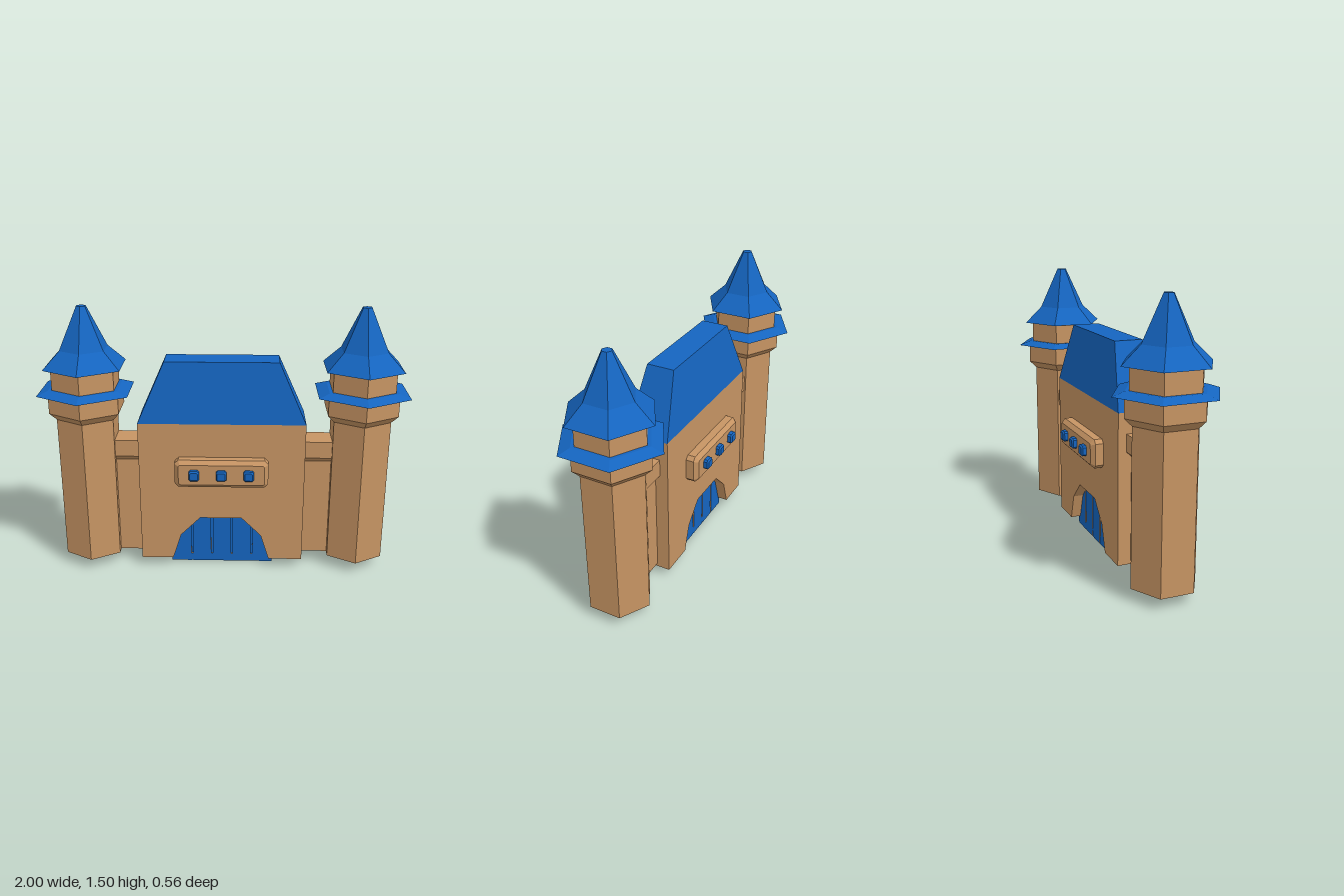
import * as THREE from 'three';

const stone = new THREE.MeshStandardMaterial({ color: 0xc69463, flatShading: true });
const blue = new THREE.MeshStandardMaterial({ color: 0x1565c0, flatShading: true });
const CX = -0.008, CZ = -0.008; // centre of the gatehouse

function add(parent, name, geometry, material) {
  const mesh = new THREE.Mesh(geometry, material);
  mesh.name = name;
  parent.add(mesh);
  return mesh;
}

const shapeOf = pts => new THREE.Shape(pts.map(p => new THREE.Vector2(p[0], p[1])));

// Extrusion centred on z = 0
function slab(pts, depth) {
  return new THREE.ExtrudeGeometry(shapeOf(pts), { depth, bevelEnabled: false }).translate(0, 0, -depth / 2);
}

// Block with cut corners and a chamfer round both end faces
function chamferedBlock(w, h, depth, cut, bevel) {
  const x = w / 2 - bevel, y = h / 2 - bevel;
  const pts = [[-x + cut, -y], [x - cut, -y], [x, -y + cut], [x, y - cut],
    [x - cut, y], [-x + cut, y], [-x, y - cut], [-x, -y + cut]];
  const d = depth - 2 * bevel;
  return new THREE.ExtrudeGeometry(shapeOf(pts), {
    depth: d, bevelEnabled: true, bevelSegments: 1, bevelSize: bevel, bevelThickness: bevel
  }).translate(0, 0, -d / 2);
}

function hexLathe(profile) {
  return new THREE.LatheGeometry(profile.map(p => new THREE.Vector2(p[0], p[1])), 6);
}

function makeTower(name, x) {
  const tower = new THREE.Group();
  tower.name = name;
  tower.position.x = x;
  add(tower, 'shaft', hexLathe([[0, 0.065], [0.178, 0.065], [0.178, 0.89], [0.218, 0.93],
    [0.218, 1.037], [0.282, 1.037]]), stone);
  add(tower, 'lowerEave', hexLathe([[0.282, 1.037], [0.215, 1.06], [0.18, 1.06]]), blue);
  add(tower, 'turret', hexLathe([[0.194, 1.06], [0.194, 1.175], [0.238, 1.175]]), stone);
  add(tower, 'spire', hexLathe([[0.238, 1.175], [0.137, 1.27], [0.027, 1.5], [0, 1.5]]), blue);
  return tower;
}

// Arch outline, left to right, shared by opening and door
const arch = [[-0.28, 0.05], [-0.232, 0.2], [-0.122, 0.31], [0.113, 0.31], [0.223, 0.2], [0.27, 0.05]];

function archHeight(x) {
  for (let i = 1; i < arch.length; i++) {
    const [x0, y0] = arch[i - 1], [x1, y1] = arch[i];
    if (x <= x1) return y0 + (y1 - y0) * Math.max(0, (x - x0) / (x1 - x0));
  }
  return 0.05;
}

function makeGatehouse() {
  const gate = new THREE.Group();
  gate.name = 'gatehouse';
  gate.position.set(CX, 0, CZ);

  // Body with an arched passage
  add(gate, 'body', slab([[-0.46, 0.05], ...arch, [0.46, 0.05], [0.46, 0.877], [-0.46, 0.877]], 0.236), stone);

  // Hipped roof: a box with its top drawn in
  const roof = new THREE.BoxGeometry(0.92, 0.338, 0.236);
  const p = roof.attributes.position;
  for (let i = 0; i < p.count; i++) {
    if (p.getY(i) > 0) p.setXYZ(i, p.getX(i) * 0.31 / 0.46, p.getY(i), p.getZ(i) * 0.65);
  }
  add(gate, 'roof', roof, blue).position.y = 1.046;

  // Door: threshold, recessed core and upright planks on both faces
  add(gate, 'threshold', slab([[-0.29, 0], [0.29, 0], [0.29, 0.047], [-0.29, 0.047]], 0.118), [blue, stone]);
  add(gate, 'doorCore', slab([[-0.28, 0.001], [0.27, 0.001], ...arch.slice().reverse()], 0.1), blue);
  const edges = [-0.292, -0.173, -0.058, 0.057, 0.172, 0.292];
  for (let i = 0; i < 5; i++) {
    const a = edges[i] + (i > 0 ? 0.005 : 0), b = edges[i + 1] - (i < 4 ? 0.005 : 0);
    const inner = arch.filter(q => q[0] > a && q[0] < b).reverse();
    add(gate, 'doorPlank', slab([[a, 0], [b, 0], [b, archHeight(b)], ...inner, [a, archHeight(a)]], 0.12), [blue, stone]);
  }

  // Window bay and windows, running through to the back
  add(gate, 'windowBay', chamferedBlock(0.516, 0.16, 0.368, 0.008, 0.022), stone).position.y = 0.604;
  for (const x of [-0.15, 0, 0.15]) {
    add(gate, 'window', chamferedBlock(0.058, 0.058, 0.424, 0.005, 0.008), blue).position.set(x, 0.606, 0);
  }
  return gate;
}

// Curtain wall with a wider, splayed parapet
function makeWall(name, x) {
  const pts = [[-0.05, 0.07], [0.05, 0.07], [0.05, 0.642], [0.077, 0.67], [0.077, 0.765],
    [-0.077, 0.765], [-0.077, 0.67], [-0.05, 0.642]];
  const wall = new THREE.Mesh(slab(pts, 0.24).rotateY(Math.PI / 2), stone);
  wall.name = name;
  wall.position.set(x, 0, -0.003);
  return wall;
}

export function createModel() {
  const castle = new THREE.Group();
  castle.name = 'castle';
  castle.add(makeGatehouse());
  for (const [side, s] of [['left', 1], ['right', -1]]) {
    castle.add(makeTower(side + 'Tower', s * 0.755));
    castle.add(makeWall(side + 'Wall', s * 0.54));
  }
  return castle;
}
